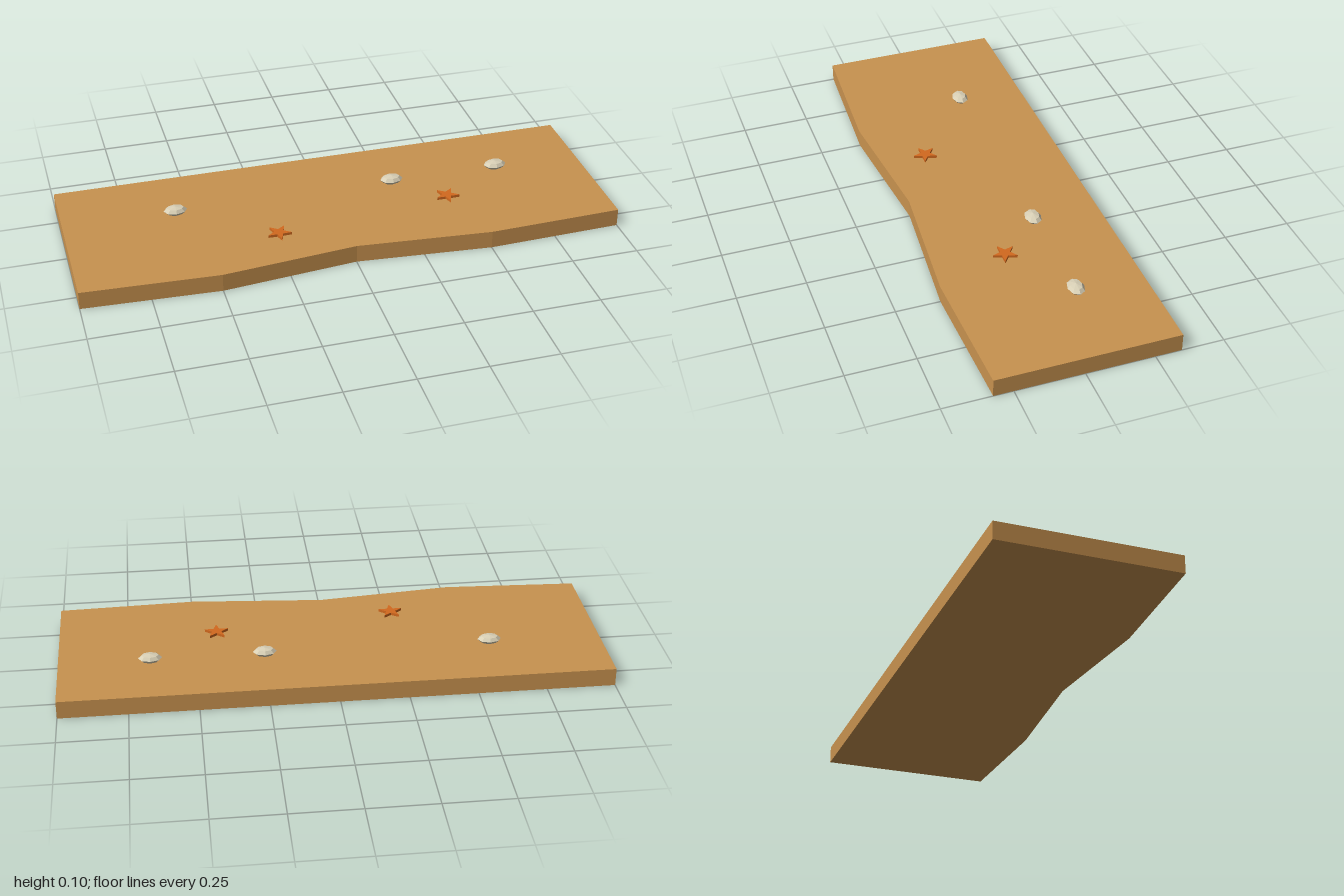
import * as THREE from 'three';

const slabTop = 0.067;

// Extrudes an outline given in (x, z) upwards from the ground
function plate(outline, height) {
  const shape = new THREE.Shape(outline.map(([x, z]) => new THREE.Vector2(x, -z)));
  const geometry = new THREE.ExtrudeGeometry(shape, { depth: height, bevelEnabled: false });
  return geometry.rotateX(-Math.PI / 2);
}

// Five-pointed outline with one point towards +z
function starOutline(outer, inner) {
  return Array.from({ length: 10 }, (_, i) => {
    const r = i % 2 ? inner : outer;
    const a = Math.PI / 2 - (i * Math.PI) / 5;
    return [r * Math.cos(a), r * Math.sin(a)];
  });
}

export function createModel() {
  const group = new THREE.Group();
  const material = (name, color) => {
    const m = new THREE.MeshStandardMaterial({ color, flatShading: true });
    m.name = name;
    return m;
  };
  const sand = material('sand', 0xc8924f);
  const shell = material('shell', 0xd9d0b6);
  const orange = material('starfish orange', 0xd2691e);

  const add = (name, geometry, mat, x = 0, y = 0, z = 0) => {
    const mesh = new THREE.Mesh(geometry, mat);
    mesh.name = name;
    mesh.position.set(x, y, z);
    group.add(mesh);
  };

  // Sand slab with a wavy shoreline along the front
  const slab = plate([
    [-1, -0.346], [1, -0.346], [1, 0.321], [0.5, 0.338],
    [0, 0.296], [-0.5, 0.346], [-1, 0.321],
  ], slabTop);
  add('sandSlab', slab, sand);

  // Flattened faceted shells
  const shellGeometry = new THREE.SphereGeometry(1, 8, 4).scale(0.044, 0.0165, 0.0305);
  for (const x of [-0.583, 0.25, 0.667]) add('seashell', shellGeometry, shell, x, 0.079, -0.096);

  // Starfish
  const starGeometry = plate(starOutline(0.046, 0.0184), 0.01);
  for (const [x, z] of [[-0.25, 0.154], [0.417, 0.071]]) {
    add('starfish', starGeometry, orange, x, 0.0725, z);
  }

  return group;
}
